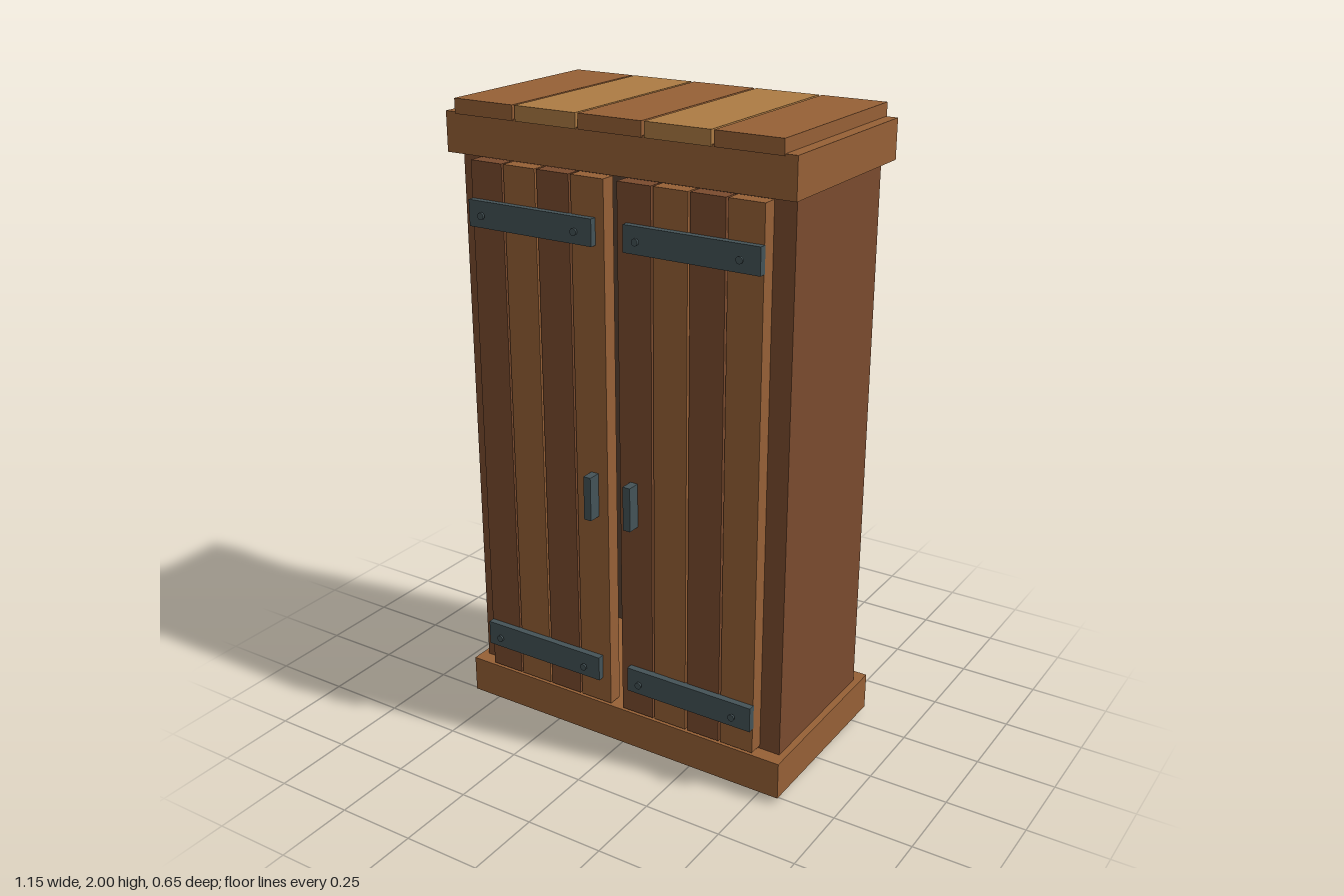
import * as THREE from 'three';

const material = (color) => new THREE.MeshStandardMaterial({ color });

export function createModel() {
  const group = new THREE.Group();
  const wood = material(0x966036);
  const lightWood = material(0xad7b43);
  const darkWood = material(0x7a4b2e);
  const backWood = material(0x5a4333);
  const metal = material(0x445357);

  // Box given by its min and max on each axis
  function box(name, [x0, x1], [y0, y1], [z0, z1], mat) {
    const mesh = new THREE.Mesh(new THREE.BoxGeometry(x1 - x0, y1 - y0, z1 - z0), mat);
    mesh.name = name;
    mesh.position.set((x0 + x1) / 2, (y0 + y1) / 2, (z0 + z1) / 2);
    group.add(mesh);
    return mesh;
  }

  // Carcass: side boards, recessed back and floor
  box('leftSide', [0.475, 0.553], [0, 1.85], [-0.27, 0.235], darkWood);
  box('rightSide', [-0.553, -0.475], [0, 1.85], [-0.27, 0.235], darkWood);
  box('backPanel', [-0.475, 0.475], [0.02, 1.85], [-0.24, -0.2], backWood);
  box('floor', [-0.475, 0.475], [0.004, 0.06], [-0.2, 0.23], darkWood);

  // Base and top trim
  box('baseTrim', [-0.575, 0.575], [0.02, 0.14], [-0.32, 0.281], wood);
  box('topTrim', [-0.575, 0.575], [1.84, 1.96], [-0.32, 0.281], wood);

  // Roof planks in alternating tones
  for (let i = 0; i < 5; i++) {
    const x = (i - 2) * 0.217;
    box('roofPlank', [x - 0.104, x + 0.104], [1.955, 2], [-0.325, 0.285], i % 2 ? lightWood : wood);
  }

  // Two doors of four planks each, with straps, rivets and a handle
  for (const [side, start] of [['right', -0.489], ['left', 0.021]]) {
    const sign = side === 'left' ? 1 : -1;
    for (let i = 0; i < 4; i++) {
      const x = start + i * 0.118;
      box(side + 'DoorPlank', [x, x + 0.111], [0.15, 1.827], [0.235, 0.283], i % 2 ? wood : darkWood);
    }
    for (const y of [0.275, 1.675]) {
      const strap = box(side + 'Strap', [-0.217, 0.217], [y - 0.04, y + 0.04], [0.28, 0.304], metal);
      strap.position.x = sign * 0.27;
      for (const x of [0.103, 0.432]) {
        const rivet = new THREE.Mesh(new THREE.CylinderGeometry(0.011, 0.011, 0.007, 10), metal);
        rivet.name = side + 'Rivet';
        rivet.rotation.x = Math.PI / 2;
        rivet.position.set(sign * x, y, 0.319);
        group.add(rivet);
      }
    }
    const handle = box(side + 'Handle', [-0.0125, 0.0125], [0.795, 0.935], [0.28, 0.325], metal);
    handle.position.x = sign * 0.07;
  }

  return group;
}
